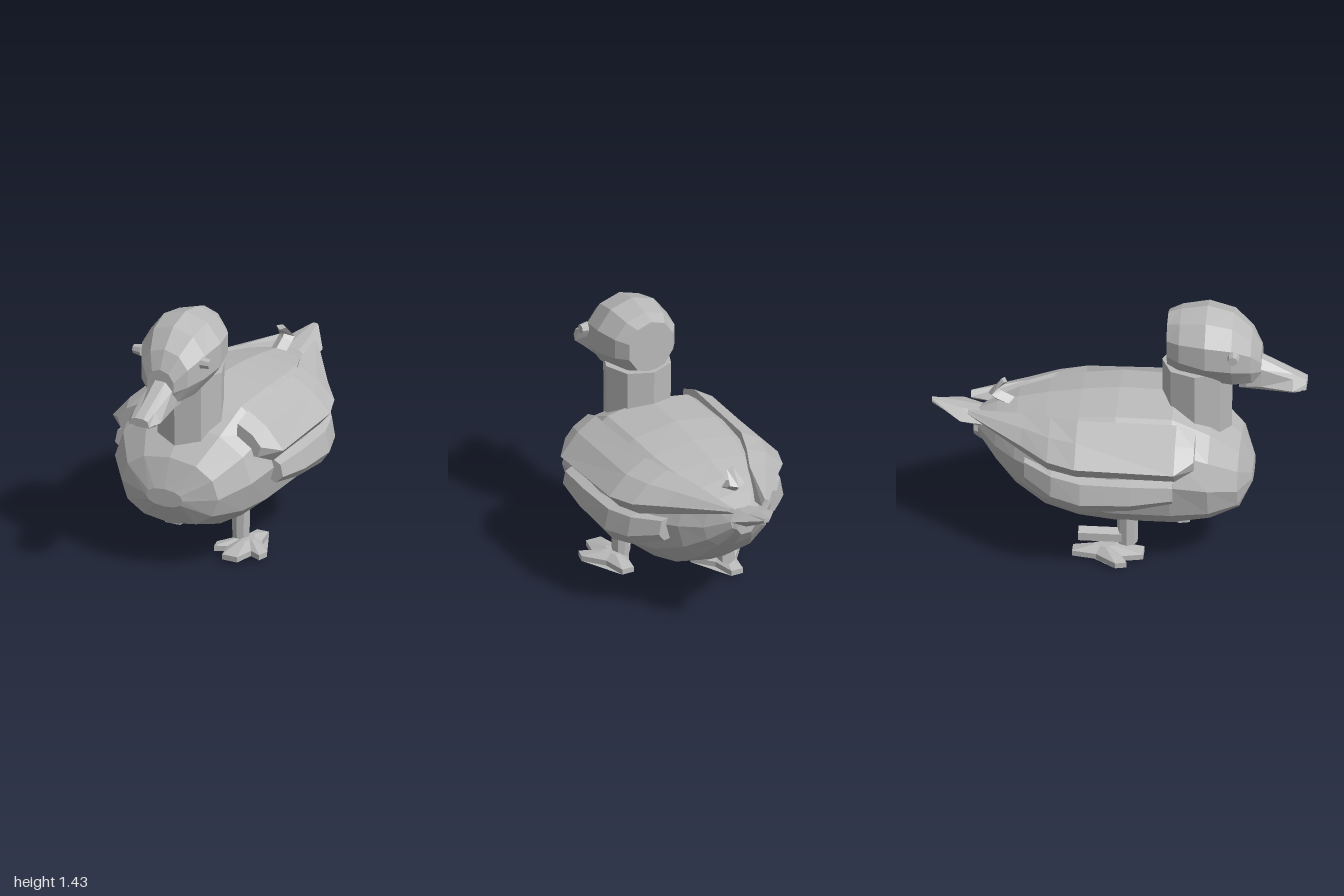
import * as THREE from 'three';

const grey = new THREE.MeshStandardMaterial({ color: 0xb9b9b9, flatShading: true });
grey.name = 'plain grey';

// Skin a list of rings (each a list of [x, y, z]) and cap both ends, faces outward
function loft(rings) {
  const n = rings[0].length;
  const tris = [];
  for (let i = 0; i < rings.length - 1; i++) {
    for (let j = 0; j < n; j++) {
      const k = (j + 1) % n;
      const a = rings[i][j], b = rings[i][k], c = rings[i + 1][k], d = rings[i + 1][j];
      tris.push([a, b, c], [a, c, d]);
    }
  }
  const first = rings[0], last = rings[rings.length - 1];
  for (let j = 1; j < n - 1; j++) {
    tris.push([first[0], first[j + 1], first[j]], [last[0], last[j], last[j + 1]]);
  }
  // Turn all faces round if the enclosed volume comes out negative
  let volume = 0;
  for (const t of tris) {
    const [a, b, c] = t.map((p) => new THREE.Vector3(...p));
    volume += a.dot(b.cross(c));
  }
  if (volume < 0) tris.forEach((t) => t.reverse());
  const geo = new THREE.BufferGeometry();
  geo.setAttribute('position', new THREE.Float32BufferAttribute(tris.flat(2), 3));
  geo.computeVertexNormals();
  return geo;
}

// Egg-like ring across z: half width, top, widest height, bottom
function ring([z, w, top, mid, bottom], sides, power = 1) {
  const pts = [];
  for (let i = 0; i < sides; i++) {
    const a = (i / sides) * Math.PI * 2;
    const s = Math.sin(a), c = Math.cos(a);
    const h = c > 0 ? top - mid : mid - bottom;
    pts.push([
      Math.sign(s) * Math.abs(s) ** power * w,
      mid + Math.sign(c) * Math.abs(c) ** power * h,
      z,
    ]);
  }
  return pts;
}

// Section given as [z, x, y, x, y, ...], optionally mirrored in x
const section = (side) => ([z, ...xy]) => {
  const pts = [];
  for (let i = 0; i < xy.length; i += 2) pts.push([xy[i] * side, xy[i + 1], z]);
  return pts;
};

// Symmetric section from its right half, listed from top to bottom
function symmetric([z, ...xy]) {
  const half = section(1)([z, ...xy]);
  return [...half, ...half.slice().reverse().map(([x, y]) => [-x, y, z])];
}

export function createModel() {
  const model = new THREE.Group();
  const add = (name, geo, x = 0, y = 0, z = 0) => {
    const mesh = new THREE.Mesh(geo, grey);
    mesh.name = name;
    mesh.position.set(x, y, z);
    model.add(mesh);
    return mesh;
  };

  // Body
  add('body', loft([
    [0.715, 0.11, 0.49, 0.44, 0.39],
    [0.65, 0.29, 0.65, 0.46, 0.27],
    [0.5, 0.41, 0.79, 0.52, 0.215],
    [0.3, 0.455, 0.9, 0.56, 0.183],
    [0.0, 0.465, 0.905, 0.57, 0.185],
    [-0.2, 0.445, 0.885, 0.57, 0.205],
    [-0.38, 0.385, 0.855, 0.58, 0.25],
    [-0.54, 0.285, 0.82, 0.6, 0.35],
    [-0.65, 0.19, 0.785, 0.62, 0.47],
    [-0.75, 0.08, 0.74, 0.67, 0.6],
  ].map((s) => ring(s, 12, 0.9))));

  // Neck and head
  add('neck', new THREE.CylinderGeometry(0.188, 0.183, 0.45, 8), 0, 0.865, 0.415);
  add('head', loft([
    [0.26, 0.14, 1.38, 1.23, 1.08],
    [0.33, 0.19, 1.405, 1.23, 1.05],
    [0.47, 0.222, 1.43, 1.22, 1.0],
    [0.61, 0.2, 1.395, 1.2, 0.975],
    [0.71, 0.145, 1.3, 1.16, 0.98],
    [0.76, 0.085, 1.2, 1.11, 1.02],
  ].map((s) => ring(s, 10))));

  // Bill
  add('upperBill', loft([
    [0.68, 0.035, 1.14, 0.08, 1.08, 0.08, 0.99],
    [0.76, 0.03, 1.135, 0.072, 1.09, 0.08, 0.99],
    [0.93, 0.025, 1.045, 0.06, 1.03, 0.092, 0.975],
    [1.0, 0.025, 1.01, 0.05, 1.0, 0.06, 0.97],
  ].map(symmetric)));
  add('lowerBill', loft([
    [0.64, 0.06, 1.02, 0.05, 0.965],
    [0.76, 0.07, 0.985, 0.055, 0.96],
    [0.93, 0.075, 0.968, 0.06, 0.95],
    [0.97, 0.045, 0.965, 0.04, 0.948],
  ].map(symmetric)));

  // Tail, under-tail wedge and curled feather
  add('tail', loft([
    [-0.58, 0.04, 0.72, 0.12, 0.69, 0.04, 0.62],
    [-0.72, 0.035, 0.735, 0.11, 0.7, 0.035, 0.645],
    [-0.84, 0.035, 0.755, 0.13, 0.725, 0.035, 0.675],
    [-1.0, 0.012, 0.79, 0.02, 0.78, 0.012, 0.765],
  ].map(symmetric)));
  add('underTail', loft([
    [-0.6, 0.09, 0.68, 0.1, 0.58, 0.04, 0.5],
    [-0.72, 0.06, 0.69, 0.085, 0.63, 0.035, 0.56],
    [-0.775, 0.04, 0.66, 0.055, 0.63, 0.03, 0.595],
  ].map(symmetric)));
  add('tailCurl', loft([
    [[0, 0.77, -0.6], [0.045, 0.79, -0.575], [0, 0.81, -0.55], [-0.045, 0.79, -0.575]],
    [[0, 0.8, -0.665], [0.045, 0.825, -0.65], [0, 0.85, -0.63], [-0.045, 0.825, -0.65]],
    [[0, 0.835, -0.7], [0.045, 0.845, -0.68], [0, 0.865, -0.645], [-0.045, 0.845, -0.68]],
    [[0, 0.925, -0.63], [0.03, 0.918, -0.615], [0, 0.905, -0.598], [-0.03, 0.918, -0.615]],
  ]));

  // Short heavy toes joined by webs, pointing forward
  const half = [[0.035, -0.16], [0.06, -0.03], [0.15, 0.08], [0.135, 0.14], [0.07, 0.11], [0.045, 0.22]];
  const outline = [...half, ...half.slice().reverse().map(([x, z]) => [-x, z])];
  const footGeo = loft([
    outline.map(([x, z]) => [x, 0.02, z]),
    outline.map(([x, z]) => [x, 0.05, z]),
    outline.map(([x, z]) => [x * 0.3, 0.08, z * 0.3]),
  ]);

  for (const side of [1, -1]) {
    const name = side > 0 ? 'left' : 'right';
    // Folded wing: broad upper part running back to a point
    add(name + 'UpperWing', loft([
      [0.43, 0.41, 0.65, 0.43, 0.71, 0.38, 0.77, 0.29, 0.82, 0.28, 0.65],
      [0.33, 0.45, 0.6, 0.513, 0.67, 0.41, 0.79, 0.3, 0.86, 0.28, 0.62],
      [-0.2, 0.45, 0.605, 0.513, 0.68, 0.41, 0.785, 0.29, 0.855, 0.25, 0.63],
      [-0.35, 0.41, 0.62, 0.46, 0.69, 0.36, 0.785, 0.24, 0.84, 0.2, 0.65],
      [-0.5, 0.3, 0.66, 0.34, 0.715, 0.27, 0.785, 0.175, 0.82, 0.12, 0.68],
      [-0.8, 0.085, 0.745, 0.125, 0.77, 0.11, 0.782, 0.1, 0.785, 0.08, 0.755],
    ].map(section(side))));
    // Narrow lower part along the flank
    add(name + 'LowerWing', loft([
      [0.32, 0.42, 0.49, 0.46, 0.47, 0.505, 0.51, 0.49, 0.58, 0.43, 0.61],
      [0.1, 0.42, 0.43, 0.475, 0.425, 0.523, 0.48, 0.5, 0.58, 0.43, 0.61],
      [-0.17, 0.41, 0.41, 0.475, 0.4, 0.525, 0.47, 0.5, 0.585, 0.42, 0.61],
      [-0.33, 0.36, 0.43, 0.43, 0.43, 0.475, 0.49, 0.455, 0.6, 0.38, 0.63],
      [-0.48, 0.26, 0.51, 0.335, 0.5, 0.365, 0.54, 0.35, 0.62, 0.27, 0.64],
    ].map(section(side))));
    // Eye
    add(name + 'Eye', new THREE.CylinderGeometry(0.026, 0.034, 0.05, 8), side * 0.204, 1.225, 0.622)
      .rotation.z = -side * Math.PI / 2;
    // Foot, the right one stepping back
    add(name + 'Foot', footGeo, side * 0.25, 0, side > 0 ? 0.225 : -0.07);
  }

  // Legs: the left stands straight, the right is bent backwards
  add('leftLeg', new THREE.CylinderGeometry(0.052, 0.046, 0.26, 8), 0.205, 0.13, 0.23);
  add('rightLeg', new THREE.CylinderGeometry(0.058, 0.054, 0.19, 8), -0.208, 0.175, 0.06);
  add('rightShank', new THREE.CylinderGeometry(0.045, 0.045, 0.23, 6), -0.215, 0.12, -0.085)
    .rotation.x = Math.PI / 2;

  return model;
}
